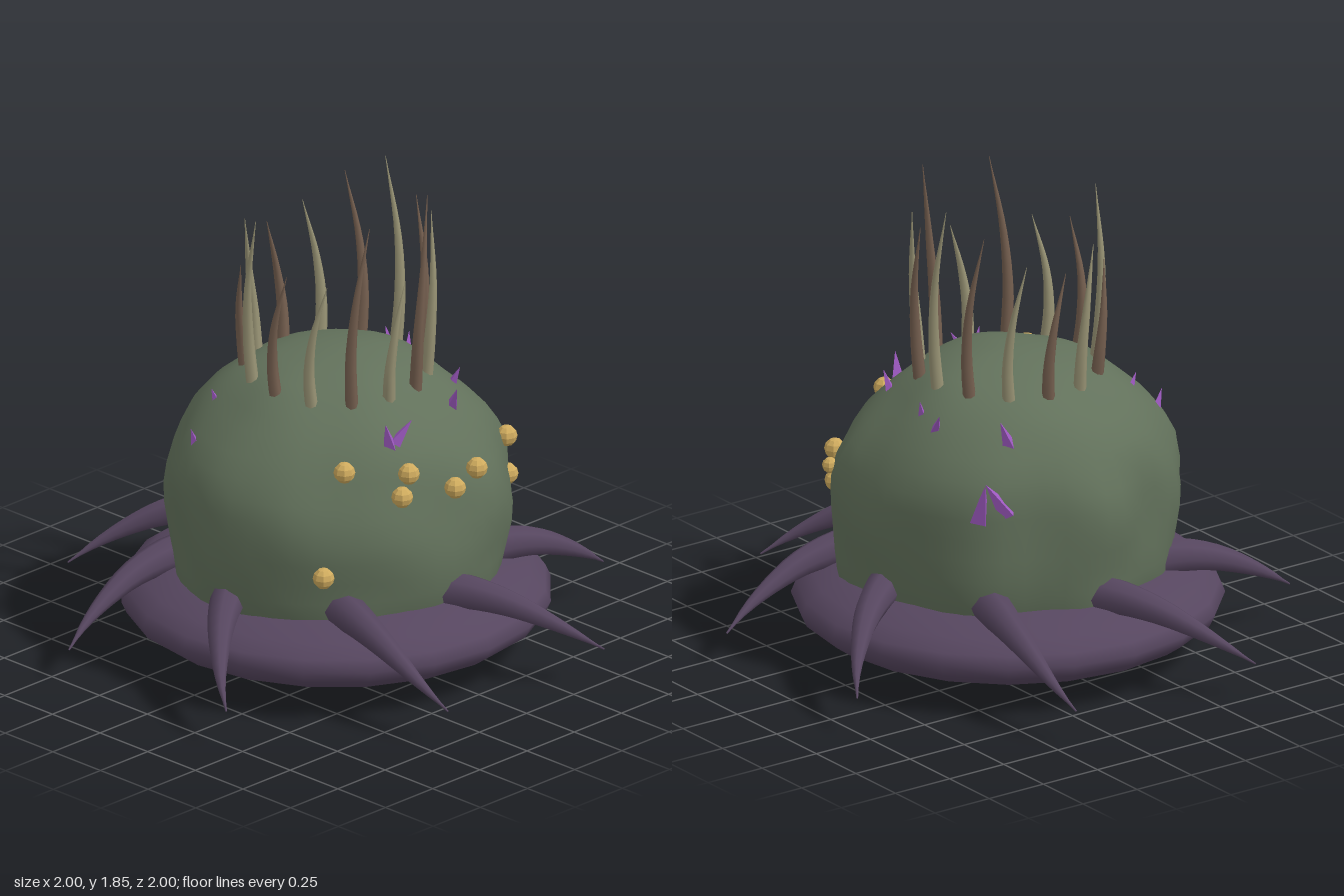
import * as THREE from 'three';
import { mergeVertices } from 'three/addons/utils/BufferGeometryUtils.js';

const material = (name, color) => {
  const m = new THREE.MeshStandardMaterial({ color });
  m.name = name;
  return m;
};

const V = (x, y, z) => new THREE.Vector3(x, y, z);

// point at a radius and angle around the y axis
const polar = (r, angle, y) => V(r * Math.cos(angle), y, r * Math.sin(angle));

// one normal per face
const faceted = (geo) => {
  const flat = geo.toNonIndexed();
  flat.computeVertexNormals();
  return flat;
};

// round tube along a smooth path, narrowing from root to tip
function taperedTube(points, radius, segments, sides, power) {
  const curve = new THREE.CatmullRomCurve3(points);
  const geo = new THREE.TubeGeometry(curve, segments, radius, sides);
  const pos = geo.attributes.position;
  const p = new THREE.Vector3();
  for (let i = 0; i <= segments; i++) {
    const c = curve.getPointAt(i / segments);
    const k = Math.max(0.04, 1 - Math.pow(i / segments, power));
    for (let j = 0; j <= sides; j++) {
      const n = i * (sides + 1) + j;
      p.fromBufferAttribute(pos, n).sub(c).multiplyScalar(k).add(c);
      pos.setXYZ(n, p.x, p.y, p.z);
    }
  }
  return geo;
}

// lumpy dome: a turned profile with an uneven outline and shallow dents
function domeGeometry() {
  const profile = [[0.53, 0.15], [0.58, 0.24], [0.61, 0.32], [0.622, 0.4], [0.632, 0.48], [0.64, 0.56],
    [0.645, 0.64], [0.642, 0.72], [0.628, 0.79], [0.595, 0.86], [0.55, 0.93], [0.485, 1.0], [0.43, 1.05],
    [0.365, 1.1], [0.29, 1.135], [0.2, 1.16], [0.1, 1.18], [0, 1.185]];
  // outline radius every 22.5 degrees, from +x towards +z
  const outline = [0.65, 0.675, 0.655, 0.65, 0.635, 0.625, 0.635, 0.665,
    0.675, 0.655, 0.645, 0.6, 0.63, 0.6, 0.625, 0.635];
  let geo = new THREE.LatheGeometry(profile.map(([r, y]) => new THREE.Vector2(r, y)), 48);
  geo.deleteAttribute('uv');
  geo.deleteAttribute('normal');
  const pos = geo.attributes.position;
  for (let i = 0; i < pos.count; i++) {
    const x = pos.getX(i), y = pos.getY(i), z = pos.getZ(i);
    const a = Math.atan2(z, x);
    const t = ((a / (Math.PI / 8)) + 16) % 16;
    const n = Math.floor(t);
    const f = THREE.MathUtils.smoothstep(t - n, 0, 1);
    const r = THREE.MathUtils.lerp(outline[n % 16], outline[(n + 1) % 16], f) / 0.645;
    const lumps = 0.016 * Math.sin(9 * x + 6 * y + 1) * Math.cos(8 * z - 7 * y)
      + 0.012 * Math.sin(13 * z + 9 * y) * Math.cos(11 * x - 5 * y);
    const frontSlope = 0.07 * Math.max(0, Math.sin(a)) * THREE.MathUtils.smoothstep(y, 0.5, 0.82);
    const k = THREE.MathUtils.lerp(r, 1, THREE.MathUtils.smoothstep(y, 0.75, 1.05)) + lumps - frontSlope;
    pos.setXYZ(i, x * k, y + 0.3 * lumps * THREE.MathUtils.smoothstep(y, 0.9, 1.1), z * k);
  }
  geo = mergeVertices(geo, 1e-4);
  geo.computeVertexNormals();
  return geo;
}

export function createModel() {
  const group = new THREE.Group();
  const moss = material('moss green', 0x62715b);
  const plum = material('dark plum', 0x56465f);
  const darkBristle = material('brown bristle', 0x766050);
  const paleBristle = material('pale bristle', 0x9a9576);
  const gold = material('gold', 0xcfab5e);
  const violet = material('violet', 0x9f5ac2);

  const add = (name, geo, mat, parent = group) => {
    const mesh = new THREE.Mesh(geo, mat);
    mesh.name = name;
    parent.add(mesh);
    return mesh;
  };
  const addGroup = (name) => {
    const g = new THREE.Group();
    g.name = name;
    group.add(g);
    return g;
  };

  // flattened foot and dome body
  const foot = add('foot', new THREE.SphereGeometry(1, 20, 14), plum);
  foot.scale.set(0.81, 0.203, 0.81);
  foot.position.y = 0.205;
  add('body', domeGeometry(), moss);

  // eight curved claws around the foot
  const claws = addGroup('claws');
  const clawPath = [[0.5, 25, 0.37], [0.64, 17, 0.365], [0.77, 11.5, 0.33], [0.88, 7.3, 0.275], [0.99, 3.4, 0.205], [1.08, 0, 0.135]];
  const clawGeo = taperedTube(
    clawPath.map(([r, deg, y]) => polar(r, THREE.MathUtils.degToRad(deg), y)), 0.08, 14, 8, 1.25);
  for (let i = 0; i < 8; i++) {
    add('claw', clawGeo, plum, claws).rotation.y = (i + 0.5) * Math.PI / 4;
  }

  // crown of bristles, alternating in colour, each swirling the same way
  const bristles = addGroup('bristles');
  const tips = [1.83, 1.72, 1.72, 1.85, 1.56, 1.81, 1.58, 1.6, 1.78, 1.54, 1.66, 1.59, 1.64, 1.75];
  tips.forEach((top, i) => {
    const a = -0.06 + i * Math.PI / 7;
    const h = top - 1.06;
    const path = [polar(0.335, a, 1.06), polar(0.352, a + 0.02, 1.06 + h * 0.3),
      polar(0.362, a - 0.03, 1.06 + h * 0.6), polar(0.358, a - 0.18, top)];
    add('bristle', taperedTube(path, 0.025, 12, 7, 1.6), i % 2 ? darkBristle : paleBristle, bristles);
  });

  // gold beads
  const beads = addGroup('beads');
  const beadGeo = faceted(new THREE.SphereGeometry(0.041, 8, 6));
  [[-0.43, 0.95, 0.47], [-0.22, 0.92, 0.6], [-0.245, 0.83, 0.59], [-0.01, 0.81, 0.635], [0.115, 0.85, 0.625],
    [0.525, 0.78, 0.375], [0.58, 0.74, 0.33, 0.75], [0.505, 0.64, 0.4], [-0.5, 0.53, 0.43]].forEach(([x, y, z, s = 1]) => {
    const bead = add('bead', beadGeo, gold, beads);
    bead.position.set(x, y, z);
    bead.scale.setScalar(s);
  });

  // small faceted shards: position, sideways lean, size
  const shards = addGroup('shards');
  const shardGeo = faceted(new THREE.ConeGeometry(0.25, 1, 4));
  [[-0.18, 1.01, 0.45, -0.3, 0.14], [-0.12, 1.005, 0.46, 0.55, 0.15], [0.22, 1.025, 0.4, -0.45, 0.13],
    [0.355, 1.03, 0.27, -0.3, 0.12], [0.445, 1.05, -0.06, 0.2, 0.09], [0.45, 1.01, -0.16, 0.5, 0.15],
    [0.3, 1.02, -0.395, -0.3, 0.14], [0.39, 0.81, -0.46, -0.6, 0.16], [0.44, 0.8, -0.44, 0.2, 0.17],
    [-0.385, 1.01, -0.25, 0.3, 0.13], [-0.53, 0.9, -0.22, 0.3, 0.13]].forEach(([x, y, z, lean, size]) => {
    const out = V(x, 0, z).normalize();
    const dir = V(0, 1, 0).addScaledVector(out, 0.35).addScaledVector(V(out.z, 0, -out.x), lean).normalize();
    const shard = add('shard', shardGeo, violet, shards);
    shard.position.set(x, y, z);
    shard.quaternion.setFromUnitVectors(V(0, 1, 0), dir);
    shard.scale.setScalar(size);
  });

  return group;
}
